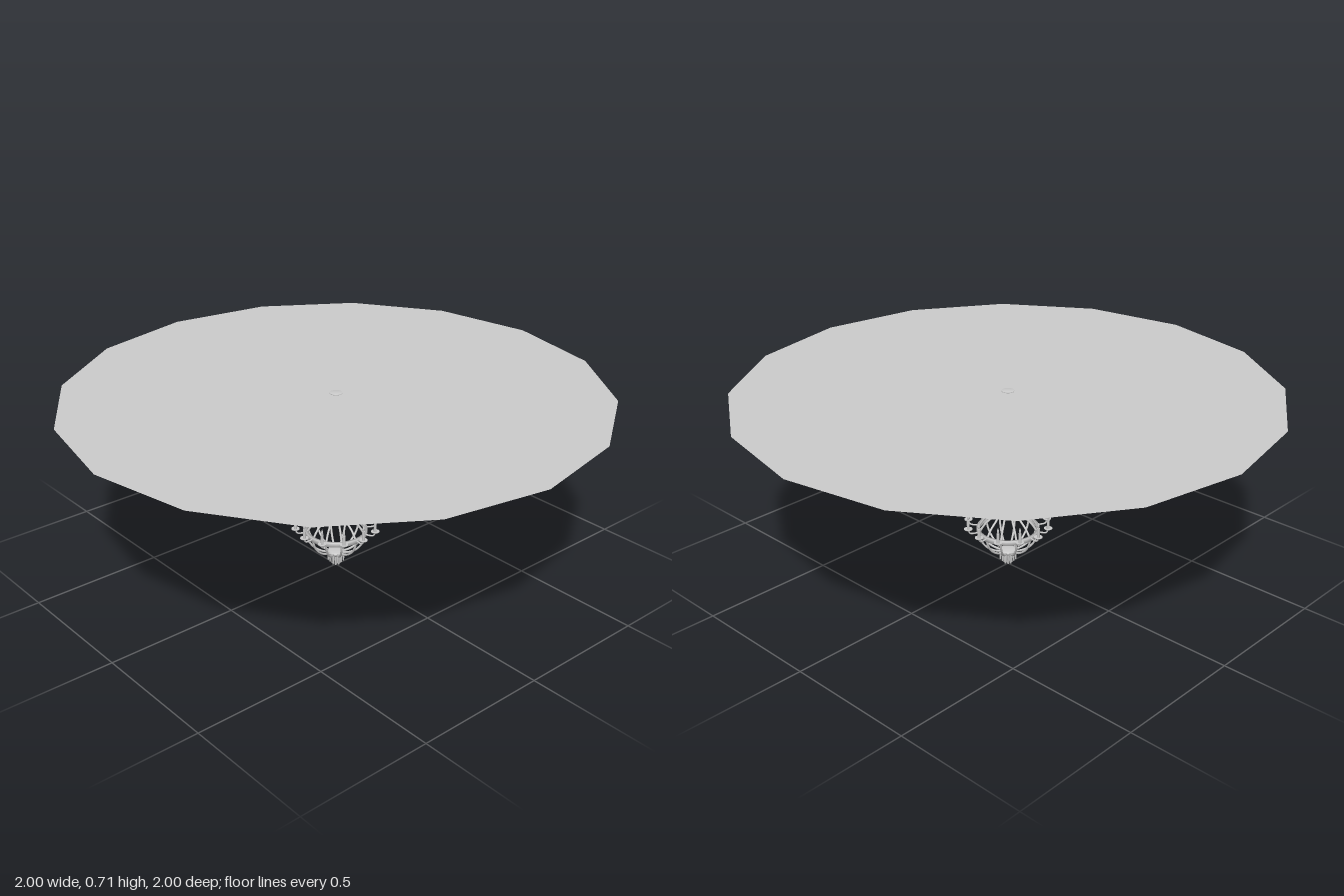
import * as THREE from 'three';

const COUNT = 12;

export function createModel() {
  const model = new THREE.Group();
  const mat = new THREE.MeshStandardMaterial({ color: 0xcccccc, side: THREE.DoubleSide });

  const add = (name, geometry, parent = model, y = 0) => {
    const mesh = new THREE.Mesh(geometry, mat);
    mesh.name = name;
    mesh.position.y = y;
    parent.add(mesh);
    return mesh;
  };
  const lathe = (points, sides) =>
    new THREE.LatheGeometry(points.map(([r, y]) => new THREE.Vector2(r, y)), sides);
  const bar = (points, radius, steps = 14) =>
    new THREE.TubeGeometry(
      new THREE.CatmullRomCurve3(points.map(([r, y]) => new THREE.Vector3(r, y, 0))),
      steps, radius, 6);
  // Flat hoop with a rectangular section
  const hoop = (inner, outer, y0, y1) =>
    lathe([[inner, y0], [outer, y0], [outer, y1], [inner, y1], [inner, y0]], 36);
  // Geometry repeated around the vertical axis
  const around = (name, count, build) => {
    for (let i = 0; i < count; i++) {
      const group = new THREE.Group();
      group.name = name + (i + 1);
      group.rotation.y = (i / count) * Math.PI * 2;
      build(group);
      model.add(group);
    }
  };

  // Ceiling disc, rose and hanging rod
  const disc = new THREE.CircleGeometry(1, 16);
  disc.rotateX(-Math.PI / 2);
  add('ceilingDisc', disc, model, 0.71);
  add('ceilingRose', lathe([[0, 0.703], [0.012, 0.704], [0.023, 0.708], [0.023, 0.713], [0, 0.713]], 16));
  add('hangingRod', new THREE.CylinderGeometry(0.003, 0.003, 0.38, 8), model, 0.52);

  // Crown at the top of the frame
  add('crownBand', hoop(0.021, 0.025, 0.328, 0.343));
  add('crownPlate', new THREE.CylinderGeometry(0.023, 0.023, 0.003, 24), model, 0.337);

  // Main hoop and the cup gathering the lower ribs
  add('mainHoop', hoop(0.109, 0.119, 0.141, 0.159));
  add('lowerCup', lathe([[0, 0.043], [0.022, 0.045], [0.033, 0.053], [0.033, 0.061], [0.026, 0.065], [0, 0.065]], 24));
  add('centreFinial', lathe([[0, 0], [0.006, 0.003], [0.007, 0.02], [0.005, 0.03], [0.011, 0.045]], 12));

  // Ribs above and below the hoop
  const upperRib = bar([[0.022, 0.335], [0.025, 0.295], [0.035, 0.25], [0.06, 0.21], [0.091, 0.182], [0.112, 0.152]], 0.0042, 18);
  const lowerRib = bar([[0.115, 0.147], [0.107, 0.117], [0.085, 0.085], [0.055, 0.065], [0.026, 0.057]], 0.0042);
  // Candle arm, drip pan, candle and flame
  const candleArm = bar([[0.113, 0.152], [0.133, 0.15], [0.149, 0.153], [0.155, 0.168]], 0.0032, 10);
  const pan = lathe([[0, 0.164], [0.008, 0.165], [0.016, 0.17], [0.016, 0.173], [0.009, 0.171], [0, 0.171]], 12);
  const candle = new THREE.CylinderGeometry(0.0055, 0.0055, 0.038, 10);
  const flame = lathe([[0.002, 0.208], [0.0045, 0.215], [0.004, 0.222], [0, 0.234]], 8);

  around('frameBay', COUNT, (group) => {
    add('upperRib', upperRib, group);
    add('lowerRib', lowerRib, group);
    add('candleArm', candleArm, group);
    add('dripPan', pan, group).position.x = 0.155;
    add('candle', candle, group, 0.19).position.x = 0.155;
    add('flame', flame, group).position.x = 0.155;
  });

  // Hanging pegs below the cup, in two rings
  const peg = (low, high) =>
    lathe([[0, low], [0.003, low + 0.002], [0.0035, high - 0.006], [0.002, high]], 8);
  const outerPeg = peg(0.022, 0.06), innerPeg = peg(0.004, 0.05);
  around('outerPegBay', COUNT, (group) => { add('outerPeg', outerPeg, group).position.x = 0.03; });
  around('innerPegBay', 8, (group) => { add('innerPeg', innerPeg, group).position.x = 0.015; });

  return model;
}
